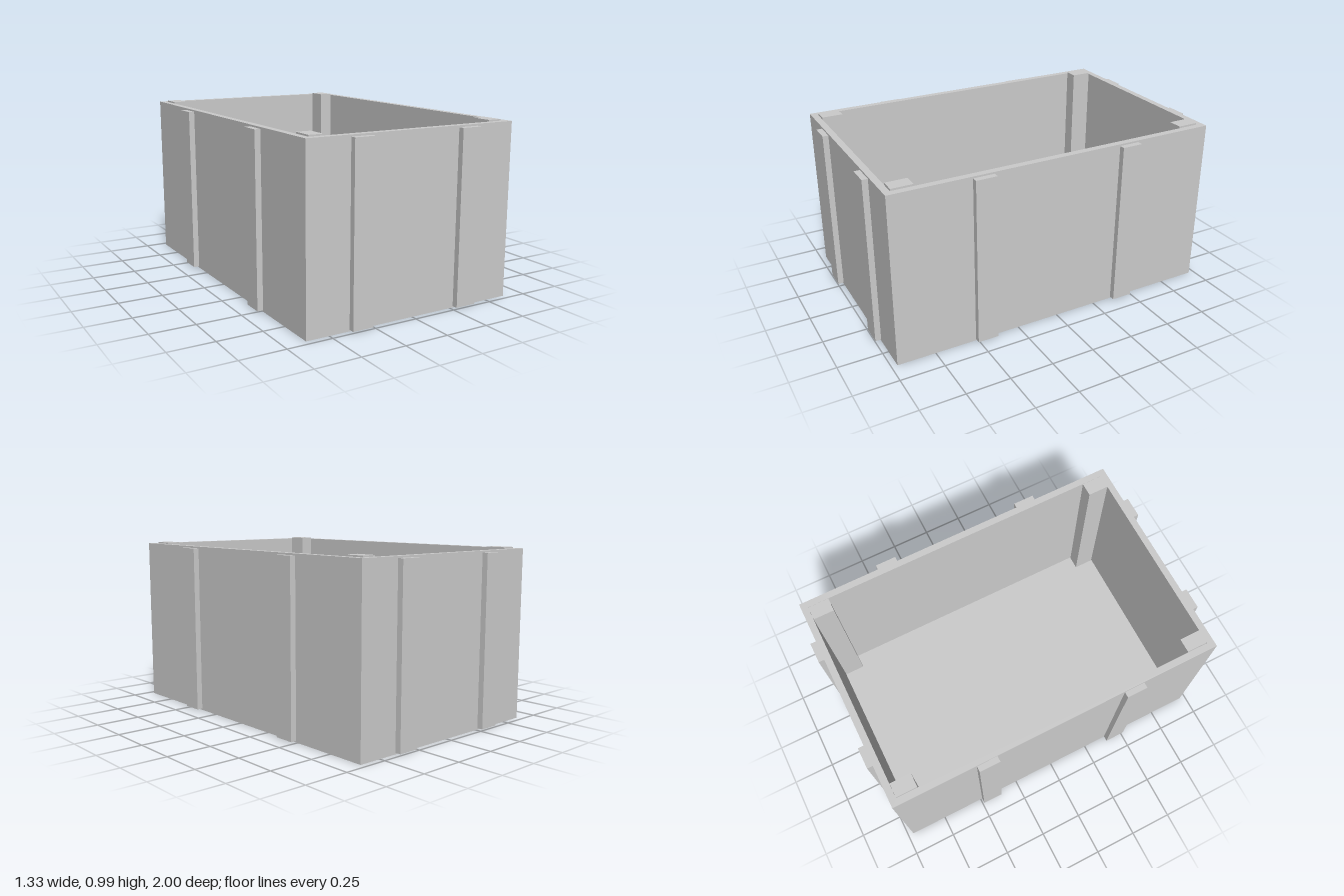
import * as THREE from 'three';

const material = new THREE.MeshStandardMaterial({ color: 0xcccccc, flatShading: true });

// Box given by its minimum and maximum corners
function block(name, [x0, y0, z0], [x1, y1, z1]) {
  const mesh = new THREE.Mesh(new THREE.BoxGeometry(x1 - x0, y1 - y0, z1 - z0), material);
  mesh.position.set((x0 + x1) / 2, (y0 + y1) / 2, (z0 + z1) / 2);
  mesh.name = name;
  return mesh;
}

function rectangle(PathType, x, z) {
  return new PathType([[-x, -z], [x, -z], [x, z], [-x, z]].map(([a, b]) => new THREE.Vector2(a, b)));
}

export function createModel() {
  const crate = new THREE.Group();
  crate.name = 'crate';

  const X = 0.63, Z = 0.967, height = 0.977, wall = 0.038, floor = 0.04;

  // Four walls as one upright rectangular tube
  const outline = rectangle(THREE.Shape, X, Z);
  outline.holes.push(rectangle(THREE.Path, X - wall, Z - wall));
  const wallGeometry = new THREE.ExtrudeGeometry(outline, { depth: height, bevelEnabled: false });
  wallGeometry.rotateX(-Math.PI / 2);
  const walls = new THREE.Mesh(wallGeometry, material);
  walls.name = 'walls';
  crate.add(walls);

  // Floor panel between the walls
  crate.add(block('floor', [wall - X, 0, wall - Z], [X - wall, floor, Z - wall]));

  // Inner corner posts, standing slightly above the rim
  for (const x of [-0.55, 0.547]) {
    for (const z of [-0.868, 0.866]) {
      crate.add(block('cornerPost', [x - 0.04, floor, z - 0.06], [x + 0.04, 0.985, z + 0.06]));
    }
  }

  // Outer battens, two on each side
  const low = 0.008, high = 0.967, half = 0.06;
  for (const side of [-1, 1]) {
    for (const x of [-0.323, 0.33]) {
      const z = side * (Z + 0.0165);
      crate.add(block('endBatten', [x - half, low, z - 0.0165], [x + half, high, z + 0.0165]));
    }
    for (const z of [-0.43, 0.452]) {
      const x = side * (X + 0.0165);
      crate.add(block('sideBatten', [x - 0.0165, low, z - half], [x + 0.0165, high, z + half]));
    }
  }

  return crate;
}
